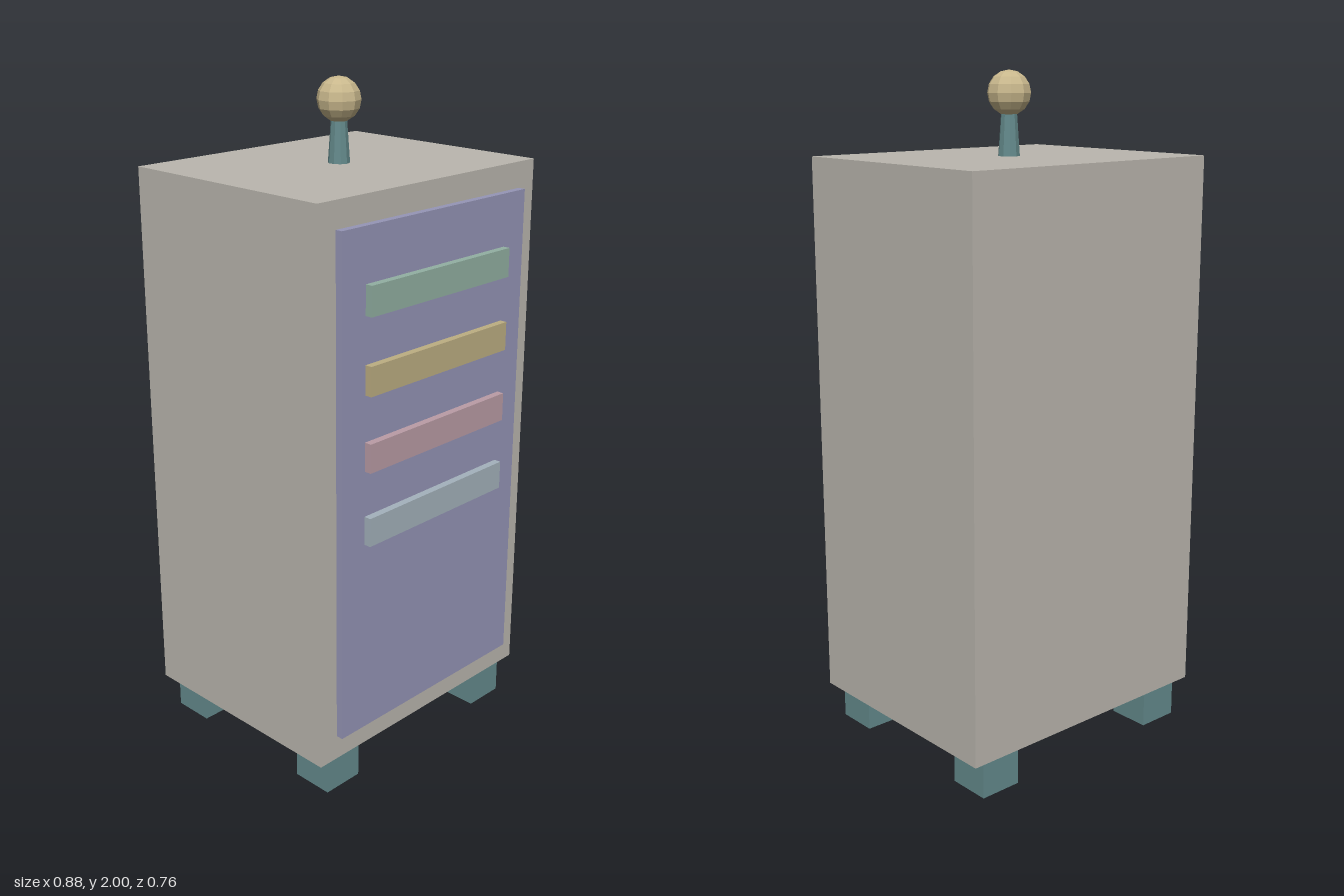
import * as THREE from 'three';

const mat = (name, color, flatShading = false) => {
  const m = new THREE.MeshStandardMaterial({ color, flatShading });
  m.name = name;
  return m;
};

export function createModel() {
  const model = new THREE.Group();
  model.name = 'cabinet';

  const shell = mat('warm grey', 0xbab6ae);
  const panel = mat('muted violet', 0x9595b6);
  const teal = mat('dark teal', 0x648a8c, true);
  const sand = mat('sand', 0xc8b78c, true);
  const stripes = [
    mat('sage green', 0x92b0a2),
    mat('ochre', 0xbdae82),
    mat('dusty pink', 0xba9ca6),
    mat('pale blue grey', 0xa4b2bc),
  ];

  const add = (name, geometry, material, x, y, z) => {
    const mesh = new THREE.Mesh(geometry, material);
    mesh.name = name;
    mesh.position.set(x, y, z);
    model.add(mesh);
    return mesh;
  };
  const box = (w, h, d) => new THREE.BoxGeometry(w, h, d);

  // Body and raised front panel
  const midZ = -0.023;
  add('body', box(0.876, 1.642, 0.714), shell, 0, 0.938, midZ);
  add('frontPanel', box(0.746, 1.49, 0.022), panel, 0, 0.938, 0.345);

  // Four coloured bars, top to bottom
  stripes.forEach((m, i) =>
    add('bar' + (i + 1), box(0.57, 0.085, 0.022), m, 0, 1.487 - i * 0.22, 0.367));

  // Feet at the corners
  for (const sx of [-1, 1]) {
    for (const sz of [-1, 1]) {
      const name = (sz > 0 ? 'front' : 'back') + (sx > 0 ? 'Left' : 'Right') + 'Foot';
      add(name, box(0.13, 0.117, 0.13), teal, sx * 0.33, 0.0585, midZ + sz * 0.275);
    }
  }

  // Tapered stalk and faceted ball on top
  add('stalk', new THREE.CylinderGeometry(0.022, 0.032, 0.14, 10), teal, 0, 1.829, midZ);
  const ball = add('ball', new THREE.SphereGeometry(0.064, 10, 8), sand, 0, 1.936, midZ);
  ball.rotation.y = Math.PI / 2;

  return model;
}
